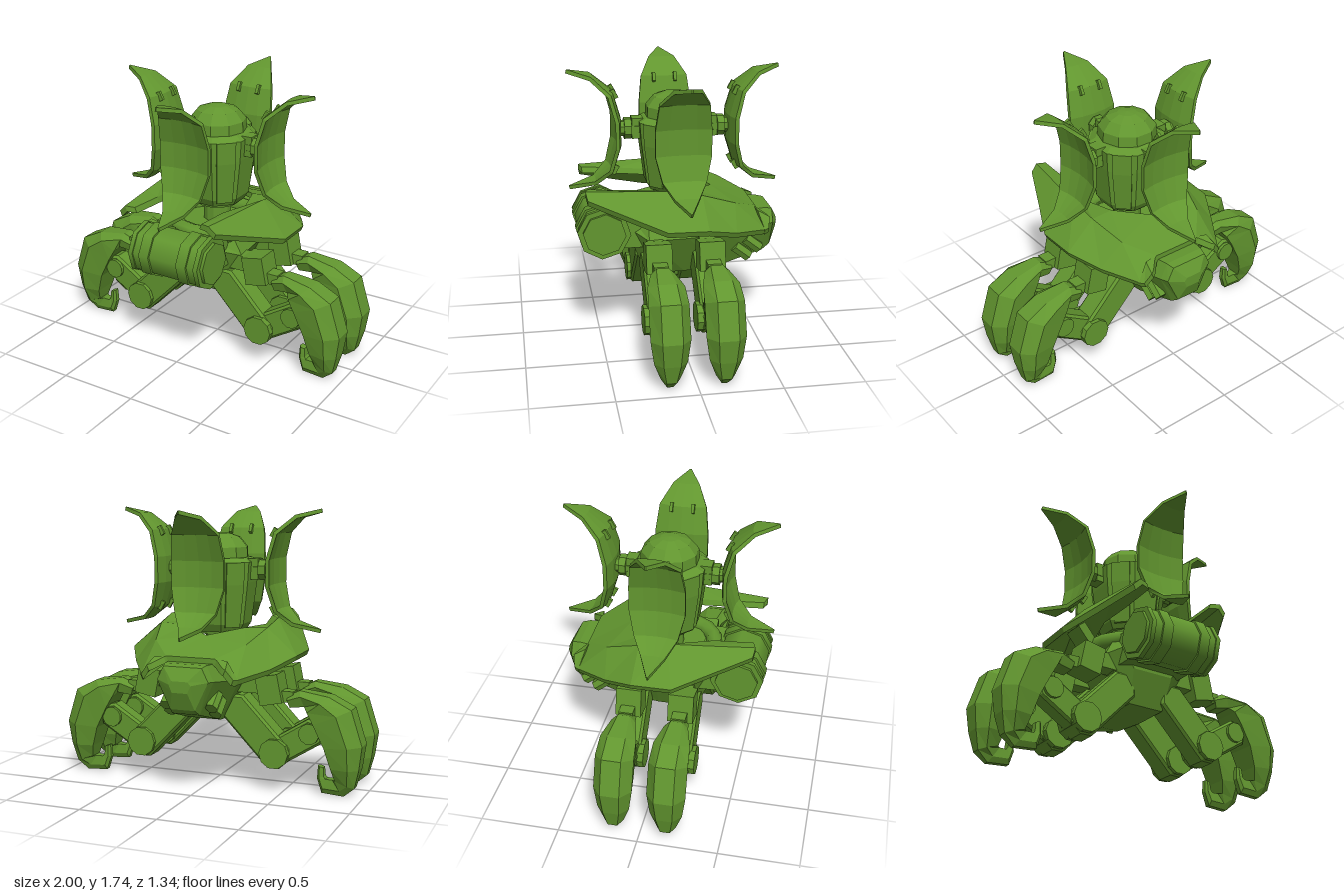
import * as THREE from 'three';

const green = new THREE.MeshStandardMaterial({ color: 0x62962f });
green.name = 'leaf green';

const add = (parent, name, geo, x = 0, y = 0, z = 0) => {
  const m = new THREE.Mesh(geo, green);
  m.name = name;
  m.position.set(x, y, z);
  parent.add(m);
  return m;
};
const group = (parent, name) => {
  const g = new THREE.Group();
  g.name = name;
  parent.add(g);
  return g;
};

// Faceted normals
const flat = (geo) => {
  const g = geo.index ? geo.toNonIndexed() : geo;
  g.computeVertexNormals();
  return g;
};
const box = (w, h, d) => new THREE.BoxGeometry(w, h, d);
const cyl = (r, len, sides = 8) => flat(new THREE.CylinderGeometry(r, r, len, sides).rotateY(Math.PI / sides));
const lathe = (profile, sides) => flat(
  new THREE.LatheGeometry(profile.map(([r, y]) => new THREE.Vector2(r, y)), sides).rotateY(Math.PI / sides));

// Closed solid through equal, even-sized rings of [x, y, z] points
function loft(rings) {
  const n = rings[0].length, tris = [];
  const quad = (a, b, c, d) => tris.push([a, b, c], [a, c, d]);
  for (let k = 0; k + 1 < rings.length; k++) {
    for (let i = 0; i < n; i++) {
      const j = (i + 1) % n;
      quad(rings[k][i], rings[k][j], rings[k + 1][j], rings[k + 1][i]);
    }
  }
  const first = rings[0], last = rings[rings.length - 1];
  for (let i = 0; i < n / 2 - 1; i++) {
    quad(first[n - 1 - i], first[n - 2 - i], first[i + 1], first[i]);
    quad(last[i], last[i + 1], last[n - 2 - i], last[n - 1 - i]);
  }
  // Turn the faces outward if the rings ran the other way
  let volume = 0;
  for (const [a, b, c] of tris) {
    volume += a[0] * (b[1] * c[2] - b[2] * c[1]) + a[1] * (b[2] * c[0] - b[0] * c[2]) + a[2] * (b[0] * c[1] - b[1] * c[0]);
  }
  if (volume < 0) tris.forEach((t) => t.reverse());
  const g = new THREE.BufferGeometry();
  g.setAttribute('position', new THREE.Float32BufferAttribute(tris.flat(2), 3));
  return flat(g);
}

// Bar with chamfered ends between two points in the xy plane
function bar(parent, name, [x0, y0], [x1, y1], half, depth) {
  const len = Math.hypot(x1 - x0, y1 - y0), c = half * 0.45;
  const s = new THREE.Shape([[-half, -c], [-c, -half], [len + c, -half], [len + half, -c],
    [len + half, c], [len + c, half], [-c, half], [-half, c]].map(([x, y]) => new THREE.Vector2(x, y)));
  const g = new THREE.ExtrudeGeometry(s, { depth: depth - 0.03, bevelSize: 0.015, bevelThickness: 0.015, bevelOffset: -0.015, bevelSegments: 1 });
  g.translate(0, 0, -depth / 2 + 0.015);
  add(parent, name, g, x0, y0).rotation.z = Math.atan2(y1 - y0, x1 - x0);
}

function buildPetal(parent) {
  // Bowed leaf: distance from axis, height, half width
  const rows = [[0.67, 1.72, 0.004], [0.52, 1.685, 0.085], [0.405, 1.59, 0.152], [0.36, 1.43, 0.172],
    [0.36, 1.27, 0.172], [0.405, 1.12, 0.135], [0.50, 1.04, 0.075], [0.67, 1.0, 0.004]];
  const us = [-1, -0.5, 0, 0.5, 1];
  const rings = rows.map(([r, y, w], i) => {
    const a = rows[Math.max(i - 1, 0)], b = rows[Math.min(i + 1, rows.length - 1)];
    const dr = b[0] - a[0], dy = b[1] - a[1], l = Math.hypot(dr, dy), t = 0.024;
    const bow = (u) => 0.025 * u * u * (w / 0.17);
    return [...us.map((u) => [u * w, y, r + bow(u)]),
      ...us.map((u) => [-u * w, y - t * dr / l, r + bow(u) + t * dy / l])];
  });
  add(parent, 'petalPlate', loft(rings));
  // Clips on the back of the plate
  for (const s of [-1, 1]) for (const [y, tilt] of [[1.595, 0.5], [1.115, -0.5]]) {
    add(parent, 'petalClip', box(0.02, 0.06, 0.035), s * 0.07, y, 0.385).rotation.x = tilt;
  }
  // Mount to the tower
  add(parent, 'mountRod', cyl(0.05, 0.14), 0, 1.36, 0.29).rotation.x = Math.PI / 2;
  add(parent, 'mountDisc', cyl(0.068, 0.045), 0, 1.36, 0.295).rotation.x = Math.PI / 2;
  add(parent, 'mountBlock', box(0.09, 0.13, 0.07), 0, 1.365, 0.235);
}

function buildTower(root) {
  const tower = group(root, 'tower');
  add(tower, 'neck', lathe([[0, 0.8], [0.09, 0.8], [0.09, 0.94], [0.14, 0.95], [0.15, 1.0], [0, 1.0]], 12));
  add(tower, 'towerColumn', lathe([[0, 0.97], [0.17, 0.97], [0.2, 1.02], [0.235, 1.28],
    [0.245, 1.41], [0.2, 1.435], [0, 1.435]], 8));
  add(tower, 'dome', lathe([[0, 1.425], [0.185, 1.425], [0.18, 1.5], [0.13, 1.56], [0.06, 1.585], [0, 1.59]], 10));
  for (let i = 0; i < 4; i++) {
    const panel = group(tower, 'towerPanel');
    panel.rotation.y = Math.PI / 4 + i * Math.PI / 2;
    const slab = (y, r, w) => [[-w, y, r - 0.05], [w, y, r - 0.05], [w, y, r], [-w, y, r]];
    add(panel, 'slab', loft([slab(1.0, 0.19, 0.05), slab(1.27, 0.23, 0.06), slab(1.41, 0.238, 0.06)]));
    const petal = group(tower, 'petal');
    petal.rotation.y = i * Math.PI / 2;
    buildPetal(petal);
  }
}

function buildShell(root) {
  // Stations from front to back: inner edge, ridge, outer edge
  const stations = [
    [[0.24, 1.045, 0.57], [0.30, 1.05, 0.59], [0.345, 1.005, 0.58]],
    [[0.24, 1.03, 0.33], [0.34, 1.05, 0.3], [0.46, 0.92, 0.33]],
    [[0.27, 1.0, 0.12], [0.37, 1.05, 0.06], [0.56, 0.85, 0.12]],
    [[0.2, 1.0, -0.1], [0.36, 1.01, -0.12], [0.555, 0.845, -0.13]],
    [[0, 0.96, -0.24], [0.3, 0.93, -0.34], [0.45, 0.785, -0.32]],
    [[0, 0.86, -0.5], [0.16, 0.86, -0.5], [0.31, 0.745, -0.54]]];
  for (const s of [1, -1]) {
    const name = s > 0 ? 'leftShell' : 'rightShell';
    const ring = (p) => [...p.map(([x, y, z]) => [s * x, y, z]),
      ...p.slice().reverse().map(([x, y, z]) => [s * Math.max(x - 0.015, 0), y - 0.035, z])];
    add(root, name, loft(stations.map(ring)));
    // Rear lobe
    add(root, name + 'Lobe', loft([[[0.16, 0.86, -0.49], [0.24, 0.85, -0.5], [0.32, 0.745, -0.53]],
      [[0.23, 0.82, -0.56], [0.255, 0.81, -0.575], [0.3, 0.75, -0.56]]].map(ring)));
  }
}

function buildBody(root) {
  // z, top, bottom, half width, bottom half width
  const hull = [[0.28, 0.8, 0.62, 0.22, 0.14], [0.2, 0.84, 0.42, 0.3, 0.12], [-0.05, 0.83, 0.42, 0.27, 0.12],
    [-0.28, 0.82, 0.44, 0.235, 0.11], [-0.57, 0.83, 0.525, 0.18, 0.09], [-0.62, 0.82, 0.56, 0.165, 0.08],
    [-0.665, 0.74, 0.67, 0.07, 0.05]];
  add(root, 'hull', loft(hull.map(([z, t, b, w, v]) => {
    const m = b + (t - b) * 0.68;
    return [[-v, b, z], [-w, m, z], [-w * 0.75, t, z], [w * 0.75, t, z], [w, m, z], [v, b, z]];
  })));
  add(root, 'shoulderRing', new THREE.TorusGeometry(0.27, 0.055, 8, 16).rotateX(Math.PI / 2), 0, 0.83, 0.02);

  // Front drum with bands and a bracket
  const drum = group(root, 'drum');
  drum.position.set(0, 0.752, 0.475);
  drum.rotation.x = -0.1;
  const ring = (name, r, len, x) => add(drum, name,
    new THREE.CylinderGeometry(r, r, len, 8).rotateZ(Math.PI / 2), x);
  ring('drumCore', 0.16, 0.48, 0);
  ring('drumEnds', 0.135, 0.54, 0);
  for (const s of [-1, 1]) {
    ring('drumBand', 0.173, 0.07, s * 0.135);
    ring('drumRim', 0.168, 0.03, s * 0.235);
  }
  add(root, 'drumBracket', box(0.44, 0.2, 0.16), 0, 0.74, 0.3);

  // Exhaust pipes below the tail, and shell struts
  for (const s of [-1, 1]) {
    for (const [y, z] of [[0.6, -0.49], [0.55, -0.42]]) {
      add(root, 'exhaustPipe', cyl(0.04, 0.12, 6), s * 0.15, y, z).rotation.x = 0.9;
    }
    add(root, 'shellStrut', box(0.06, 0.16, 0.14), s * 0.34, 0.88, 0).rotation.z = s * -0.7;
  }
}

function buildLeg(parent, z) {
  const leg = group(parent, 'leg');
  leg.position.z = z;
  bar(leg, 'thigh', [0.2, 0.495], [0.44, 0.245], 0.098, 0.15);
  add(leg, 'elbow', cyl(0.095, 0.2, 10), 0.45, 0.245, 0).rotation.x = Math.PI / 2;
  bar(leg, 'forearm', [0.47, 0.255], [0.67, 0.38], 0.085, 0.12);
  add(leg, 'wrist', cyl(0.065, 0.16, 12), 0.67, 0.385, 0).rotation.x = Math.PI / 2;
  add(leg, 'hipBlock', box(0.145, 0.18, 0.16), 0.41, 0.64, 0).rotation.z = 0.2;
  add(leg, 'hipAxle', box(0.2, 0.1, 0.1), 0.29, 0.66, 0);
  add(leg, 'link', box(0.12, 0.07, 0.09), 0.5, 0.6, 0);

  // Hooked claw: outer point, inner point, half width
  const claw = [[0.515, 0.605, 0.54, 0.535, 0.06], [0.60, 0.645, 0.635, 0.55, 0.075], [0.79, 0.62, 0.66, 0.52, 0.112],
    [0.93, 0.55, 0.70, 0.45, 0.12], [1.0, 0.33, 0.77, 0.31, 0.12], [0.98, 0.18, 0.81, 0.18, 0.1],
    [0.95, 0.06, 0.83, 0.1, 0.06], [0.88, 0.0, 0.81, 0.1, 0.035], [0.74, 0.01, 0.765, 0.1, 0.035],
    [0.71, 0.1, 0.755, 0.115, 0.03], [0.715, 0.18, 0.75, 0.17, 0.025]];
  add(leg, 'claw', loft(claw.map(([ox, oy, ix, iy, w]) => {
    const mx = ox + (ix - ox) * 0.35, my = oy + (iy - oy) * 0.35;
    return [[ox, oy, -w * 0.5], [mx, my, -w], [ix, iy, -w * 0.8], [ix, iy, w * 0.8], [mx, my, w], [ox, oy, w * 0.5]];
  })));
}

export function createModel() {
  const root = new THREE.Group();
  root.name = 'walker';
  buildTower(root);
  buildShell(root);
  buildBody(root);
  // Two legs on each side
  ['leftLegs', 'rightLegs'].forEach((name, i) => {
    const side = group(root, name);
    side.rotation.y = i * Math.PI;
    for (const z of [0.165, -0.165]) buildLeg(side, z);
  });
  return root;
}
